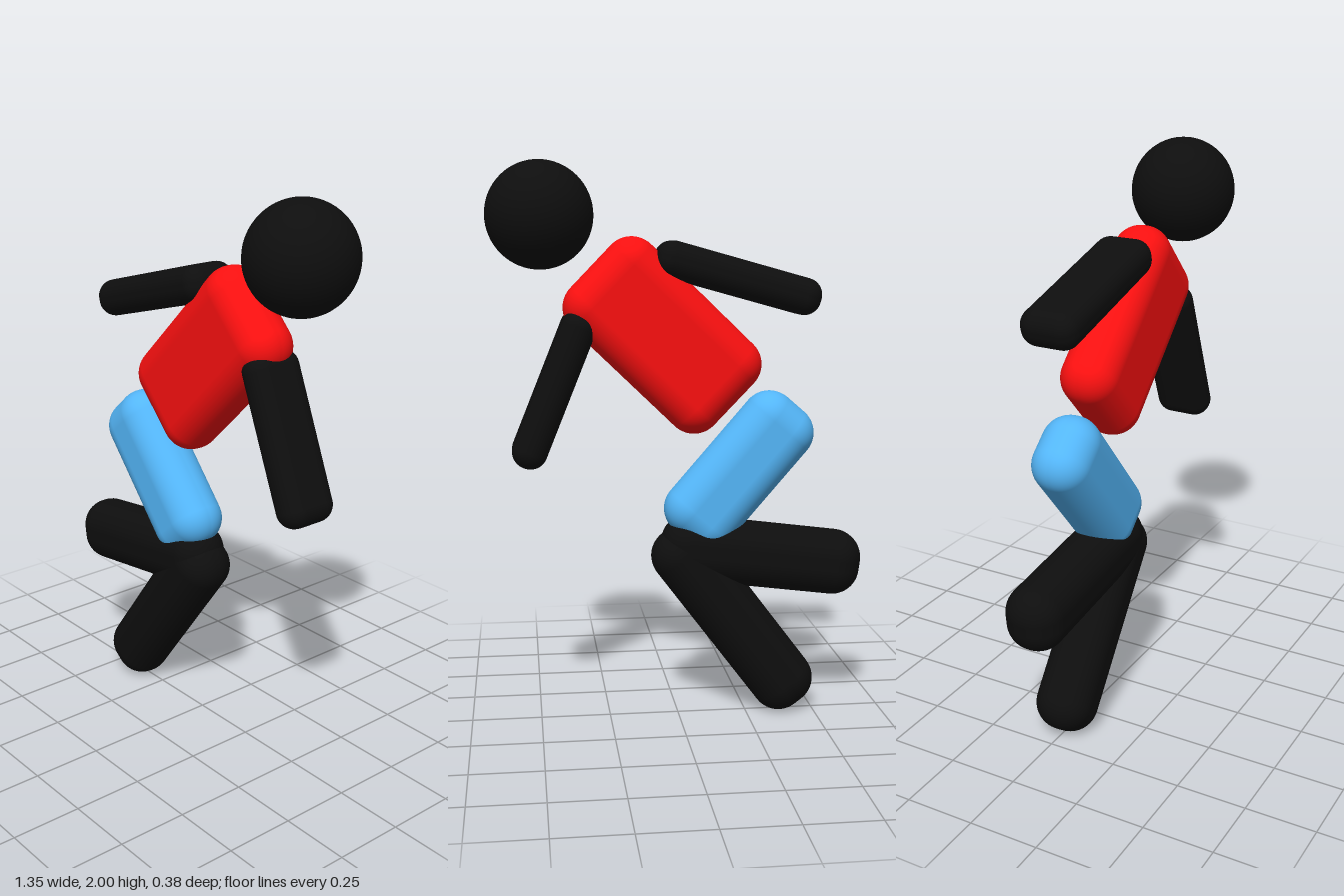
import * as THREE from 'three';
import { RoundedBoxGeometry } from 'three/addons/geometries/RoundedBoxGeometry.js';

const DEPTH = 0.21;
const black = new THREE.MeshStandardMaterial({ color: 0x0e0e0e });
const red = new THREE.MeshStandardMaterial({ color: 0xfa1010 });
const blue = new THREE.MeshStandardMaterial({ color: 0x54b6f8 });

// A soft-edged block lying in the xy plane, its length turned by `degrees` from +x
function block(name, material, length, width, radius, x, y, degrees) {
  const mesh = new THREE.Mesh(new RoundedBoxGeometry(length, width, DEPTH, 7, radius), material);
  mesh.name = name;
  mesh.position.set(x, y, 0);
  mesh.rotation.z = THREE.MathUtils.degToRad(degrees);
  return mesh;
}

export function createModel() {
  const figure = new THREE.Group();
  figure.name = 'runningFigure';

  // Head floats clear of the shoulders
  const head = new THREE.Mesh(new THREE.SphereGeometry(0.188, 48, 32), black);
  head.name = 'head';
  head.position.set(0.483, 1.812, 0);
  figure.add(head);

  figure.add(
    // Body
    block('torso', red, 0.705, 0.405, 0.1, 0.053, 1.39, 44),
    block('hips', blue, 0.63, 0.28, 0.1, -0.222, 0.903, -49),
    // Arms
    block('backArm', black, 0.605, 0.132, 0.06, -0.213, 1.594, 15.5),
    block('frontArm', black, 0.59, 0.125, 0.06, 0.44, 1.208, -68),
    // Legs
    block('standingLeg', black, 0.815, 0.233, 0.1, -0.202, 0.358, 53),
    block('raisedLeg', black, 0.74, 0.238, 0.1, -0.305, 0.59, 7.4)
  );
  return figure;
}
